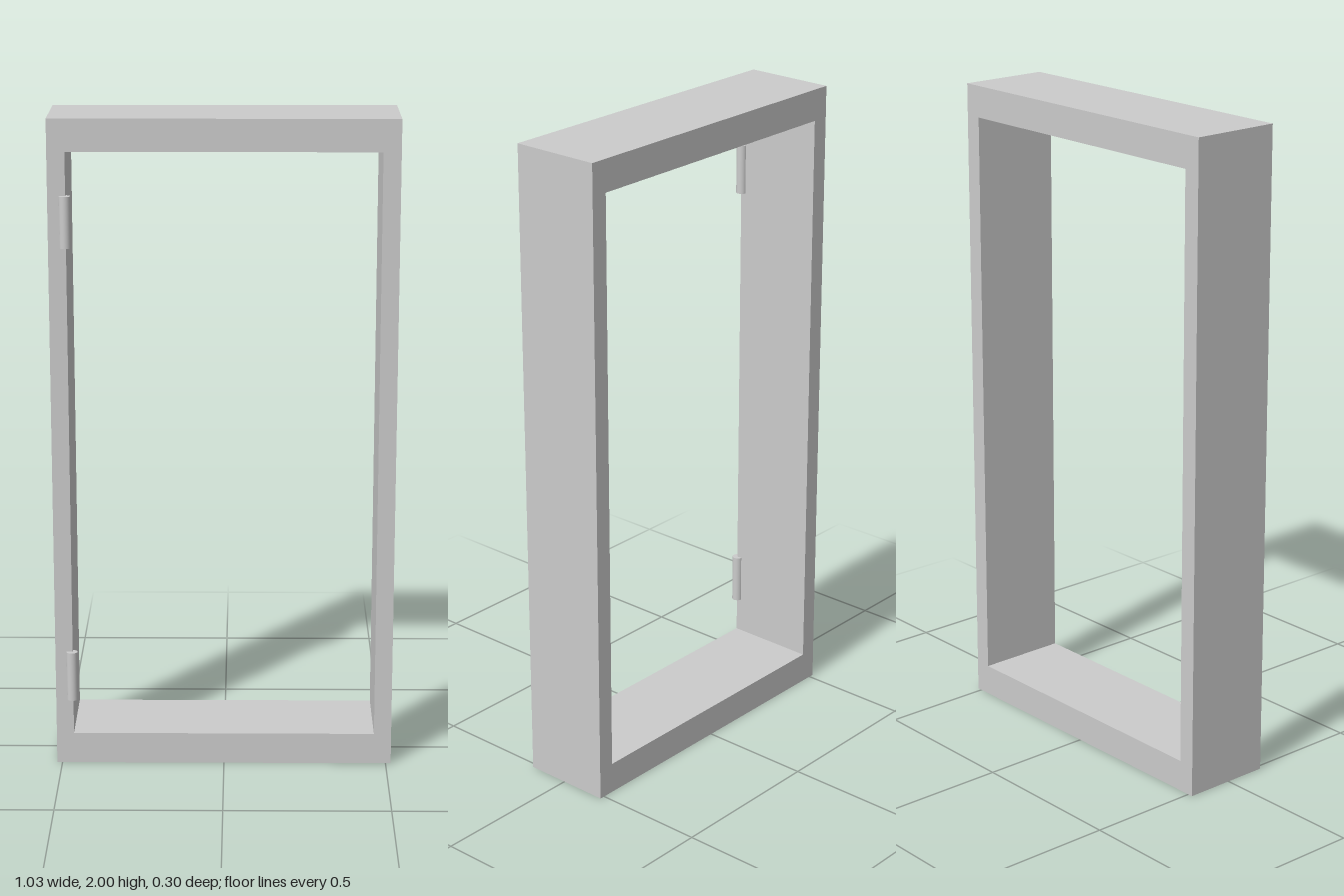
import * as THREE from 'three';

const W = 1.032, H = 2, SIDE = 0.053, RAIL = 0.097; // frame size and bar widths
const BACK = -0.15, FRONT = 0.133;

export function createModel() {
  const model = new THREE.Group();
  model.name = 'doorFrame';
  const material = new THREE.MeshStandardMaterial({ color: 0xcccccc });

  const rectangle = (path, x, y0, y1) =>
    path.moveTo(-x, y0).lineTo(x, y0).lineTo(x, y1).lineTo(-x, y1).closePath();

  // Rectangular frame with a through opening
  const outline = rectangle(new THREE.Shape(), W / 2, 0, H);
  outline.holes.push(rectangle(new THREE.Path(), W / 2 - SIDE, RAIL, H - RAIL));
  const frame = new THREE.Mesh(
    new THREE.ExtrudeGeometry(outline, { depth: FRONT - BACK, bevelEnabled: false }),
    material
  );
  frame.name = 'frame';
  frame.position.z = BACK;
  model.add(frame);

  // Hinge barrels centred on the front inner edge of one jamb
  const barrel = new THREE.CylinderGeometry(0.017, 0.017, 0.154, 24);
  for (const [name, y] of [['lowerHinge', 0.286], ['upperHinge', 1.696]]) {
    const hinge = new THREE.Mesh(barrel, material);
    hinge.name = name;
    hinge.position.set(-W / 2 + SIDE - 0.002, y, FRONT);
    model.add(hinge);
  }
  return model;
}
